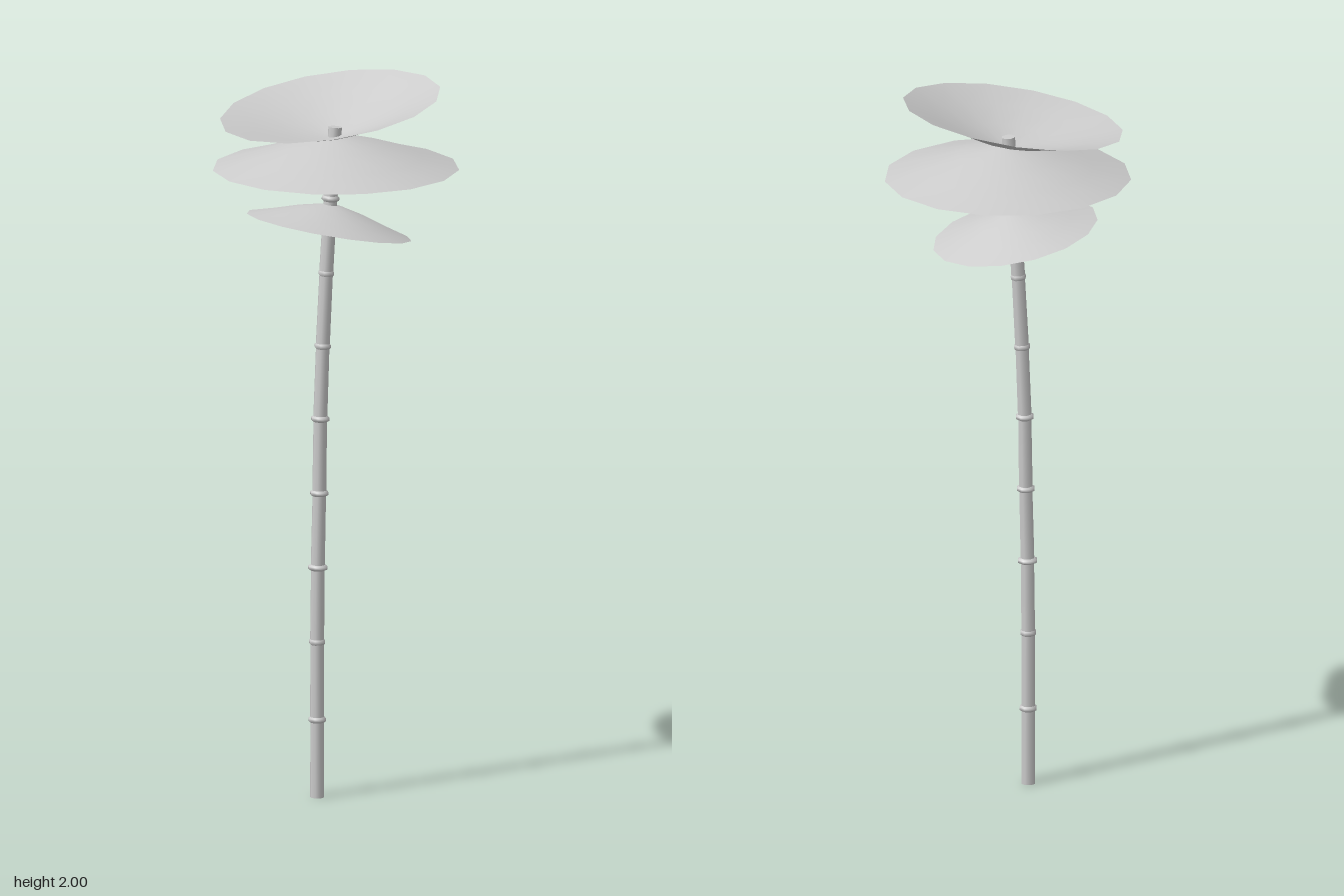
import * as THREE from 'three';

const material = new THREE.MeshStandardMaterial({ color: 0xcccccc, side: THREE.DoubleSide });

// Stem centre line at each joint: x, y
const joints = [
  [-0.06, 0], [-0.06, 0.22], [-0.06, 0.44], [-0.058, 0.65], [-0.053, 0.86],
  [-0.05, 1.07], [-0.042, 1.275], [-0.031, 1.48], [-0.017, 1.69], [-0.002, 1.89],
].map(([x, y]) => new THREE.Vector3(x, y, 0));

// Joint ring radii, uneven as in a natural stalk
const ringRadii = [0.025, 0.023, 0.028, 0.026, 0.026, 0.023, 0.022, 0.025];

// Cap profile from rim to apex: share of radius, share of height
const capProfile = [[1, 0], [0.7, 0.33], [0.41, 0.69], [0.12, 0.96], [0, 1]];

function createStem() {
  const stem = new THREE.Group();
  stem.name = 'stem';
  const up = new THREE.Vector3(0, 1, 0);
  for (let i = 0; i < joints.length - 1; i++) {
    const a = joints[i], b = joints[i + 1];
    const dir = b.clone().sub(a);
    const segment = new THREE.Mesh(
      new THREE.CylinderGeometry(0.0192, 0.02, dir.length(), 8), material);
    segment.name = 'stemSegment';
    segment.position.copy(a).add(b).multiplyScalar(0.5);
    segment.quaternion.setFromUnitVectors(up, dir.normalize());
    stem.add(segment);

    // Raised ring around the joint below this segment
    if (i > 0) {
      const r = ringRadii[i - 1];
      const profile = [[0.018, -0.009], [r, -0.004], [r, 0.004], [0.018, 0.009]]
        .map(([x, y]) => new THREE.Vector2(x, y));
      const ring = new THREE.Mesh(new THREE.LatheGeometry(profile, 8), material);
      ring.name = 'stemRing';
      ring.position.copy(a);
      ring.quaternion.copy(segment.quaternion);
      stem.add(ring);
    }
  }
  return stem;
}

// Thin fifteen-sided cap, placed by the centre of its rim
function createCap(name, radius, height, x, y, z, tilt) {
  const points = capProfile.map(([r, h]) => new THREE.Vector2(r * radius, h * height));
  const cap = new THREE.Mesh(new THREE.LatheGeometry(points, 15, -Math.PI / 2), material);
  cap.name = name;
  cap.position.set(x, y, z);
  cap.rotation.z = tilt;
  return cap;
}

export function createModel() {
  const model = new THREE.Group();
  model.name = 'tieredMushroom';
  model.add(
    createStem(),
    createCap('lowerCap', 0.232, 0.062, -0.022, 1.611, 0, -0.197),
    createCap('middleCap', 0.342, 0.09, 0, 1.775, 0, 0),
    // The top cap is turned over into a bowl
    createCap('upperCap', 0.309, 0.085, -0.014, 1.949, -0.006, Math.PI + 0.168),
  );
  return model;
}
